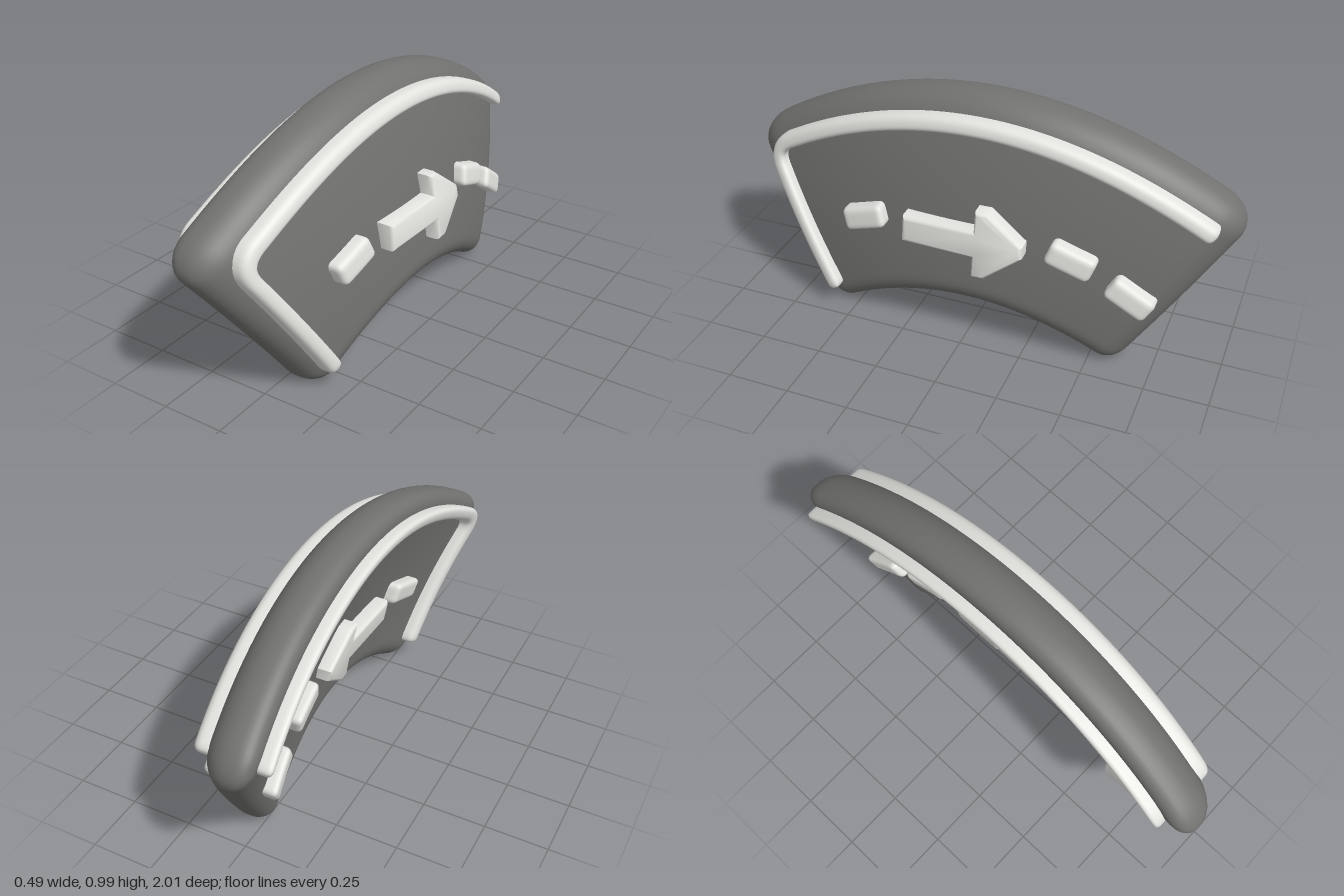
import * as THREE from 'three';
import { mergeVertices, toCreasedNormals } from 'three/addons/utils/BufferGeometryUtils.js';

const HALF = 0.1; // half thickness of the slab

// Dished mid-surface shared by every part.
const bend = (y, z) => 0.12 - 0.193 * y * y - 0.163 * z * z;

// Moves each vertex by fn(point), welds and smooths.
function warp(geo, fn) {
  const p = geo.attributes.position;
  const v = new THREE.Vector3();
  for (let i = 0; i < p.count; i++) {
    v.fromBufferAttribute(p, i);
    fn(v);
    p.setXYZ(i, v.x, v.y, v.z);
  }
  geo.deleteAttribute('uv');
  geo.deleteAttribute('normal');
  const out = mergeVertices(geo, 1e-5);
  out.computeVertexNormals();
  return out;
}

// Finely divided box with rounded edges.
function roundedBox(w, h, d, r, sw, sh, sd) {
  const half = new THREE.Vector3(w / 2 - r, h / 2 - r, d / 2 - r);
  const low = half.clone().negate();
  return warp(new THREE.BoxGeometry(w, h, d, sw, sh, sd), (v) => {
    const inner = v.clone().clamp(low, half);
    v.sub(inner).normalize().multiplyScalar(r).add(inner);
  });
}

// Turns a flat layout (right, up, out) onto the bent slab at a given depth.
function seat(v, a, b, depth) {
  v.set(bend(b, -a) + depth + v.z, b, -a);
}

// Fan-shaped slab.
function slabGeometry() {
  const L = 1.64, H = 0.82;
  const g = roundedBox(L, H, HALF * 2, 0.09, 80, 40, 12);
  return warp(g, (v) => {
    const s = v.x / (L / 2);
    const t = v.y / H + 0.5;
    const a = s * THREE.MathUtils.lerp(0.59, 1.042, t);
    const b = THREE.MathUtils.lerp(0.165 - 0.198 * s * s, 0.984 - 0.365 * s * s, t);
    seat(v, a, b, 0);
  });
}

// Raised border: straight leg, rounded corner, long arch.
function railGeometry(side) {
  const path = new THREE.Path();
  path.moveTo(-0.575, 0.08);
  path.lineTo(-0.85, 0.53);
  path.quadraticCurveTo(-0.905, 0.615, -0.8, 0.666);
  path.quadraticCurveTo(0.06, 1.148, 0.92, 0.594);
  path.arcLengthDivisions = 400;
  const length = path.getLength();
  const g = roundedBox(length, 0.06, 0.08, 0.025, 160, 8, 8);
  return warp(g, (v) => {
    const u = THREE.MathUtils.clamp(v.x / length + 0.5, 0, 1);
    const p = path.getPointAt(u);
    const t = path.getTangentAt(u);
    seat(v, p.x - t.y * v.y, p.y + t.x * v.y, side * (HALF + 0.011));
  });
}

// Short rounded dash, tilted to follow the arch.
function dashGeometry(a, b, angle, side) {
  const c = Math.cos(angle), s = Math.sin(angle);
  const g = roundedBox(0.185, 0.09, 0.09, 0.022, 20, 10, 10);
  return warp(g, (v) => seat(v, a + v.x * c - v.y * s, b + v.x * s + v.y * c, side * (HALF + 0.008)));
}

// Arrow with bevelled edges.
function arrowGeometry(side) {
  const bevel = 0.02;
  const upper = [[-0.228, 0.032], [0.068, 0.032], [0.068, 0.112], [0.092, 0.112], [0.222, 0.014]];
  const lower = upper.map(([x, y]) => [x, -y]).reverse();
  const shape = new THREE.Shape([...upper, ...lower].map(([x, y]) => new THREE.Vector2(x, y)));
  const g = new THREE.ExtrudeGeometry(shape, {
    depth: 0.06, bevelThickness: bevel, bevelSize: bevel, bevelSegments: 4, steps: 1,
  });
  g.translate(0, 0, -0.03);
  const bent = warp(g, (v) => seat(v, v.x, 0.47 + v.y, side * (HALF + 0.013)));
  return toCreasedNormals(bent, 0.7);
}

export function createModel() {
  const group = new THREE.Group();
  const darkGrey = new THREE.MeshStandardMaterial({ color: 0x71716f });
  darkGrey.name = 'darkGrey';
  const paleGrey = new THREE.MeshStandardMaterial({ color: 0xe2e2de });
  paleGrey.name = 'paleGrey';

  const add = (name, geometry, material) => {
    const mesh = new THREE.Mesh(geometry, material);
    mesh.name = name;
    group.add(mesh);
  };

  add('slab', slabGeometry(), darkGrey);

  // Markings on both faces.
  const dashes = [[-0.43, 0.455, 0.33], [0.42, 0.457, -0.35], [0.65, 0.33, -0.58]];
  for (const [label, side] of [['left', 1], ['right', -1]]) {
    add(label + 'Rail', railGeometry(side), paleGrey);
    add(label + 'Arrow', arrowGeometry(side), paleGrey);
    dashes.forEach(([a, b, angle], i) => {
      add(label + 'Dash' + (i + 1), dashGeometry(a, b, angle, side), paleGrey);
    });
  }
  return group;
}
